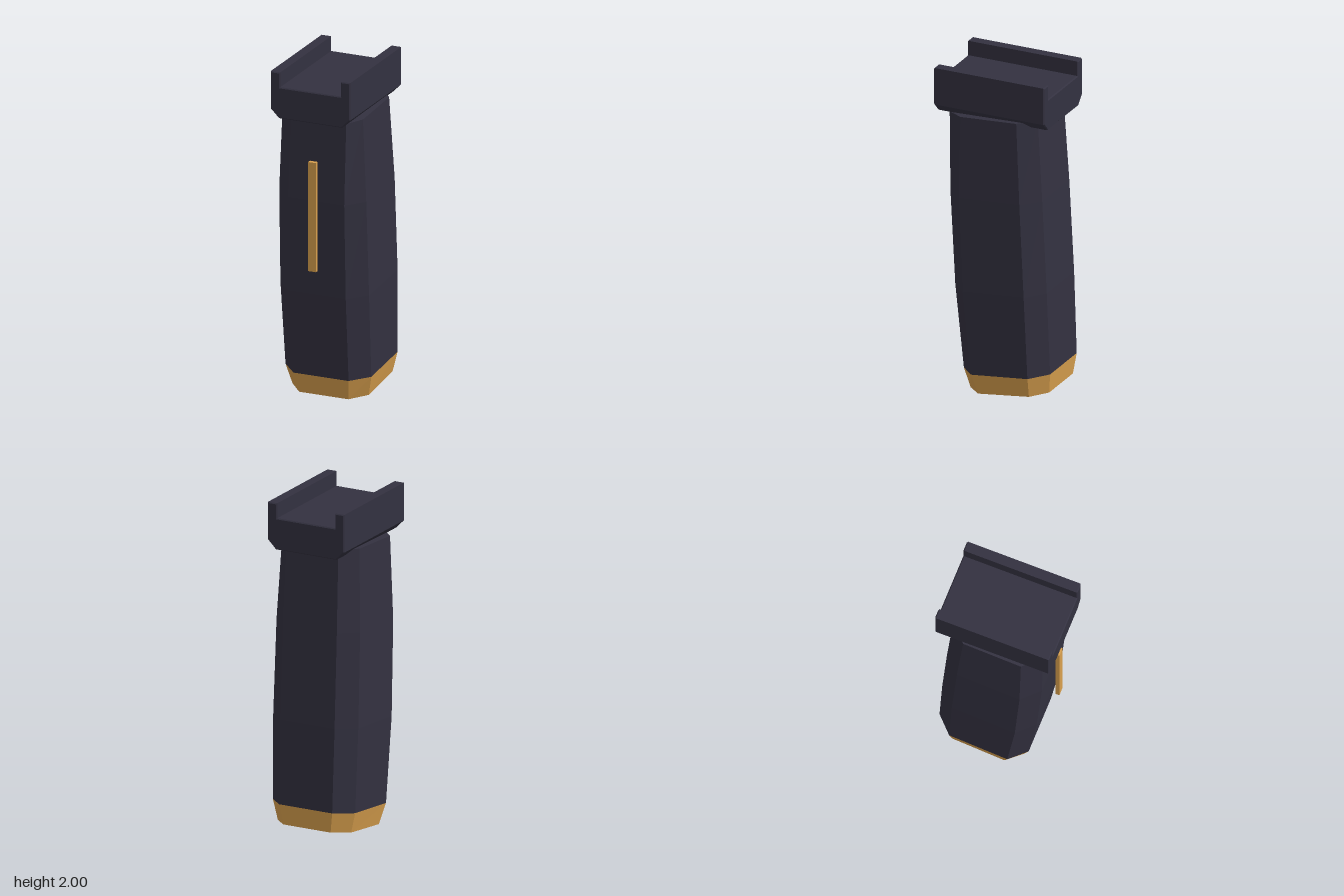
import * as THREE from 'three';

// Chamfered cross-section: z of front, front side edge, back side edge, back;
// half width w, front flat edges at -l and r, back flat half width b; y at front and back.
function ring({ z, w, l, r, b, y }) {
  const [f, fs, bs, bk] = z;
  const points = [[r, f], [w, fs], [w, bs], [b, bk], [-b, bk], [-w, bs], [-w, fs], [-l, f]];
  return points.map(([px, pz]) => [px, y[0] + (y[1] - y[0]) * (f - pz) / (f - bk), pz]);
}

// Faceted loft through sections listed from bottom to top, closed at both ends
function loft(sections) {
  const rings = sections.map(ring);
  const n = 8, out = [];
  for (let i = 0; i < rings.length - 1; i++) {
    const lo = rings[i], hi = rings[i + 1];
    for (let j = 0; j < n; j++) {
      const k = (j + 1) % n;
      out.push(...lo[j], ...lo[k], ...hi[k], ...lo[j], ...hi[k], ...hi[j]);
    }
  }
  const bottom = rings[0], top = rings[rings.length - 1];
  for (let j = 1; j < n - 1; j++) {
    out.push(...bottom[0], ...bottom[j + 1], ...bottom[j]);
    out.push(...top[0], ...top[j], ...top[j + 1]);
  }
  const g = new THREE.BufferGeometry();
  g.setAttribute('position', new THREE.Float32BufferAttribute(out, 3));
  g.computeVertexNormals();
  return g;
}

export function createModel() {
  const group = new THREE.Group();
  const dark = new THREE.MeshStandardMaterial({ color: 0x333140 });
  dark.name = 'charcoal';
  const gold = new THREE.MeshStandardMaterial({ color: 0xd9a04e });
  gold.name = 'gold';
  const add = (name, geometry, material) => {
    const mesh = new THREE.Mesh(geometry, material);
    mesh.name = name;
    group.add(mesh);
    return mesh;
  };

  // Handle, leaning back towards its foot
  const foot = { z: [0.2, 0.105, -0.255, -0.353], w: 0.272, l: 0.178, r: 0.172, b: 0.175, y: [0.125, 0.185] };
  add('handle', loft([
    foot,
    { z: [0.252, 0.155, -0.235, -0.334], w: 0.281, l: 0.182, r: 0.178, b: 0.18, y: [0.64, 0.69] },
    { z: [0.281, 0.182, -0.205, -0.304], w: 0.276, l: 0.175, r: 0.182, b: 0.178, y: [1.22, 1.26] },
    { z: [0.28, 0.182, -0.175, -0.272], w: 0.255, l: 0.156, r: 0.194, b: 0.17, y: [1.72, 1.755] },
  ]), dark);

  // Tapered end cap
  add('endCap', loft([
    { z: [0.165, 0.075, -0.25, -0.338], w: 0.242, l: 0.158, r: 0.154, b: 0.156, y: [0, 0.062] },
    foot,
  ]), gold);

  // Mounting rail: channel profile run front to back with a fine edge bevel
  const profile = new THREE.Shape([
    [-0.2, 1.72], [0.2, 1.72], [0.252, 1.772], [0.252, 2], [0.192, 2],
    [0.192, 1.91], [-0.192, 1.91], [-0.192, 2], [-0.252, 2], [-0.252, 1.772],
  ].map(([x, y]) => new THREE.Vector2(x, y)));
  const bevel = 0.006;
  const rail = new THREE.ExtrudeGeometry(profile, {
    depth: 0.705 - 2 * bevel, bevelEnabled: true, bevelThickness: bevel,
    bevelSize: bevel, bevelOffset: -bevel, bevelSegments: 1,
  });
  rail.translate(0, 0, -0.351 + bevel);
  add('mountingRail', rail, dark);

  // Accent bar standing just ahead of the handle
  add('accentBar', new THREE.BoxGeometry(0.05, 0.665, 0.025), gold).position.set(0, 1.14, 0.317);

  return group;
}
